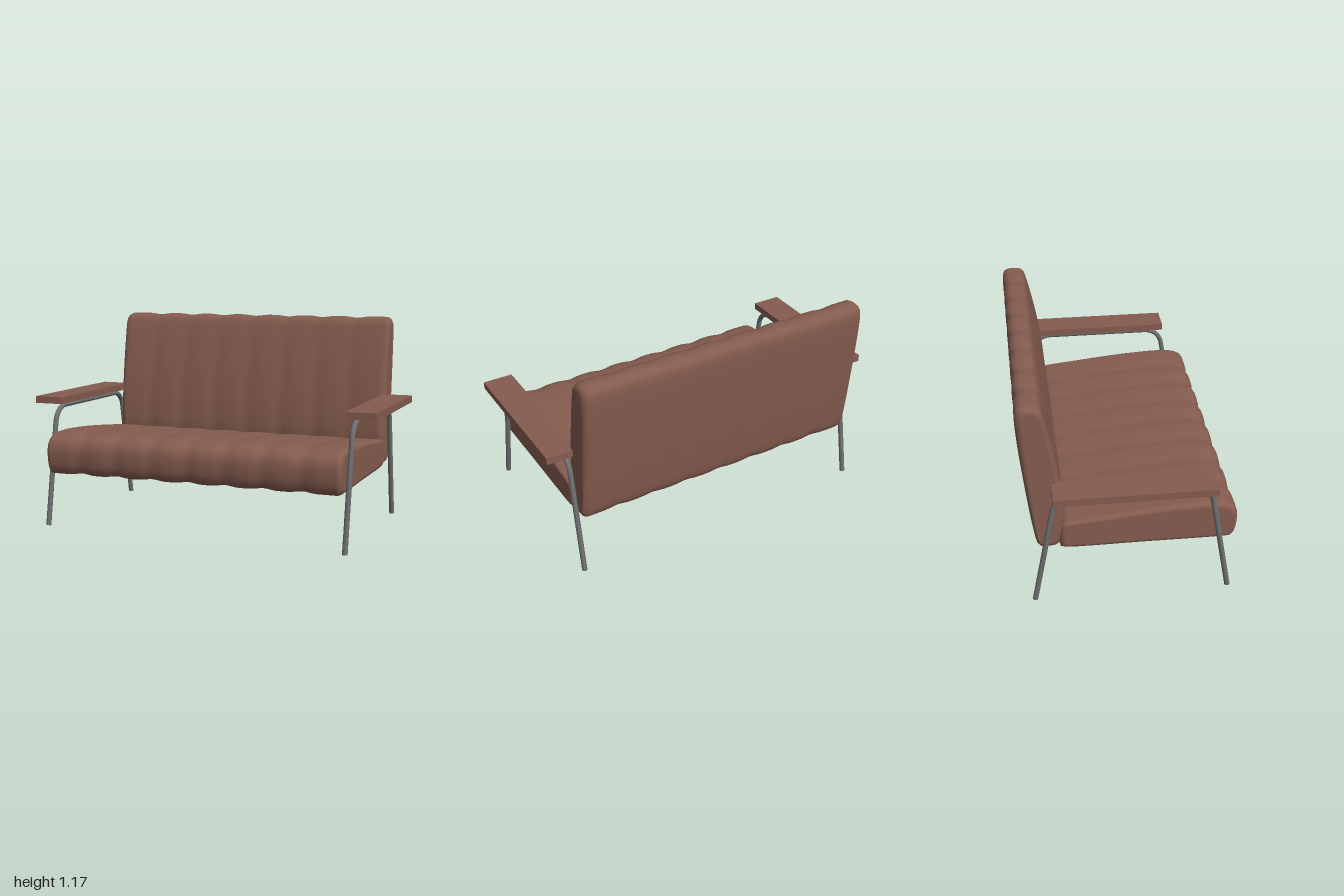
import * as THREE from 'three';

const leather = new THREE.MeshStandardMaterial({ color: 0x855c4f });
leather.name = 'brown leather';
const steel = new THREE.MeshStandardMaterial({ color: 0x6c6e6f });
steel.name = 'grey steel';

// Channelled cushion: a closed (z, y) profile lofted along x, pinched at each seam and rounded at both ends
function cushion(name, profile, halfWidth, endRadius, seamDepth) {
  const RING = 72, CHANNELS = 8;
  const curve = new THREE.CatmullRomCurve3(profile.map(([z, y]) => new THREE.Vector3(0, y, z)), true);
  const ring = curve.getSpacedPoints(RING).slice(0, RING);
  const box = new THREE.Box3().setFromPoints(ring);
  const mid = box.getCenter(new THREE.Vector3());
  const half = box.getSize(new THREE.Vector3()).multiplyScalar(0.5);

  // Stations [x, inset]
  const stations = [], inner = halfWidth - endRadius, ARC = 8, STEPS = CHANNELS * 12;
  const seam = (x) => {
    const t = ((x + halfWidth) / (2 * halfWidth)) * CHANNELS;
    if (t < 0.5 || t > CHANNELS - 0.5) return 0;
    return seamDepth * Math.abs(Math.cos(Math.PI * t)) ** 4;
  };
  const arc = (k) => {
    const a = (k / ARC) * Math.PI / 2;
    return [inner + endRadius * Math.sin(a), endRadius * (1 - Math.cos(a))];
  };
  for (let k = ARC; k > 0; k--) stations.push([-arc(k)[0], arc(k)[1]]);
  for (let i = 0; i <= STEPS; i++) {
    const x = -inner + (2 * inner * i) / STEPS;
    stations.push([x, seam(x)]);
  }
  for (let k = 1; k <= ARC; k++) stations.push(arc(k));

  const pos = [], idx = [], last = stations.length - 1;
  for (const [x, inset] of stations) {
    const sy = 1 - inset / half.y, sz = 1 - inset / half.z;
    for (const p of ring) pos.push(x, mid.y + (p.y - mid.y) * sy, mid.z + (p.z - mid.z) * sz);
  }
  for (let i = 0; i < last; i++) {
    for (let j = 0; j < RING; j++) {
      const a = i * RING + j, d = i * RING + ((j + 1) % RING);
      idx.push(a, a + RING, d + RING, a, d + RING, d);
    }
  }
  // Flat ends
  const c = pos.length / 3;
  pos.push(-halfWidth, mid.y, mid.z, halfWidth, mid.y, mid.z);
  for (let j = 0; j < RING; j++) {
    const n = (j + 1) % RING;
    idx.push(c, j, n, c + 1, last * RING + n, last * RING + j);
  }
  const geo = new THREE.BufferGeometry();
  geo.setAttribute('position', new THREE.Float32BufferAttribute(pos, 3));
  geo.setIndex(idx);
  geo.computeVertexNormals();
  const mesh = new THREE.Mesh(geo, leather);
  mesh.name = name;
  return mesh;
}

// Bent tube frame: two splayed legs joined by a rail under the armrest
function legFrame(x) {
  const group = new THREE.Group(), radius = 0.0145;
  const v = (z, y) => new THREE.Vector3(x, y, z);
  const foot1 = v(0.532, 0.004), foot2 = v(-0.508, 0.004);
  const corner1 = v(0.412, 0.674), corner2 = v(-0.383, 0.674);
  const toward = (a, b, d) => a.clone().add(b.clone().sub(a).setLength(d));
  const bend = (from, corner, to) => new THREE.CubicBezierCurve3(
    from, from.clone().lerp(corner, 0.6), to.clone().lerp(corner, 0.6), to);
  const a = toward(corner1, foot1, 0.095), b = toward(corner1, corner2, 0.095);
  const c = toward(corner2, corner1, 0.095), d = toward(corner2, foot2, 0.095);
  const path = new THREE.CurvePath();
  path.add(new THREE.LineCurve3(foot1, a));
  path.add(bend(a, corner1, b));
  path.add(new THREE.LineCurve3(b, c));
  path.add(bend(c, corner2, d));
  path.add(new THREE.LineCurve3(d, foot2));
  const tube = new THREE.Mesh(new THREE.TubeGeometry(path, 110, radius, 16), steel);
  tube.name = 'legTube';
  group.add(tube);
  // Foot caps
  for (const [foot, knee] of [[foot1, a], [foot2, d]]) {
    const cap = new THREE.Mesh(new THREE.CircleGeometry(radius, 16), steel);
    cap.name = 'footCap';
    cap.position.copy(foot);
    cap.lookAt(foot.clone().multiplyScalar(2).sub(knee));
    group.add(cap);
  }
  return group;
}

export function createModel() {
  const model = new THREE.Group();
  model.name = 'sofa';

  model.add(cushion('seat', [
    [0.54, 0.312], [0.557, 0.335], [0.57, 0.40], [0.568, 0.465], [0.55, 0.505], [0.505, 0.53],
    [0.41, 0.54], [0.25, 0.534], [0.05, 0.517], [-0.15, 0.494], [-0.34, 0.47], [-0.357, 0.462],
    [-0.361, 0.44], [-0.366, 0.335], [-0.362, 0.317], [-0.345, 0.312], [0.1, 0.309], [0.51, 0.309],
  ], 0.858, 0.03, 0.008));

  model.add(cushion('backrest', [
    [-0.365, 0.335], [-0.35, 0.40], [-0.338, 0.50], [-0.345, 0.64], [-0.372, 0.84], [-0.412, 1.04],
    [-0.437, 1.135], [-0.447, 1.158], [-0.47, 1.17], [-0.54, 1.17], [-0.562, 1.155], [-0.57, 1.11],
    [-0.565, 0.99], [-0.536, 0.70], [-0.503, 0.44], [-0.486, 0.35], [-0.473, 0.325], [-0.45, 0.318],
    [-0.385, 0.322],
  ], 0.853, 0.04, 0.008));

  // Armrests and leg frames on both sides
  for (const [side, s] of [['left', 1], ['right', -1]]) {
    const arm = new THREE.Mesh(new THREE.BoxGeometry(0.167, 0.039, 0.834), leather);
    arm.name = side + 'Armrest';
    arm.position.set(s * 0.9165, 0.709, 0.012);
    model.add(arm);
    const frame = legFrame(s * 0.872);
    frame.name = side + 'LegFrame';
    model.add(frame);
  }
  return model;
}
